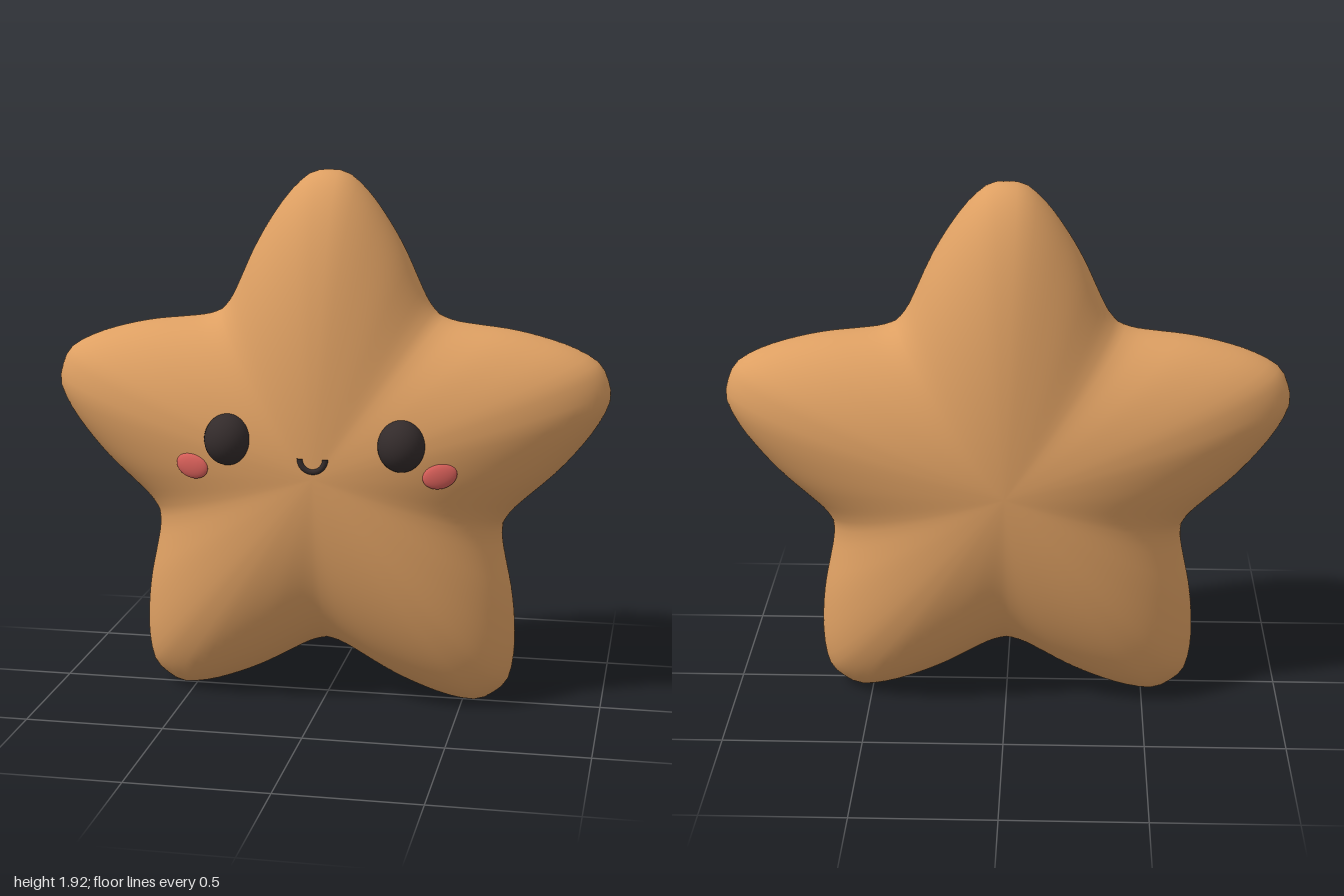
import * as THREE from 'three';
import { mergeVertices } from 'three/addons/utils/BufferGeometryUtils.js';

const CENTER_Y = 0.87, CENTER_Z = -0.025, HALF_DEPTH = 0.328;

const bodyMat = new THREE.MeshStandardMaterial({ color: 0xdd9f62 });
const darkMat = new THREE.MeshStandardMaterial({ color: 0x332b2b });
const cheekMat = new THREE.MeshStandardMaterial({ color: 0xd9605a });

// Outline radius by angle (degrees) from the nearest arm tip: tip 0, valley 36
const armRadius = new THREE.CubicInterpolant(
  [0, 3.5, 7.5, 13.5, 19.5, 25, 31, 36],
  [1.045, 1.037, 0.988, 0.897, 0.812, 0.742, 0.687, 0.668], 1);
armRadius.settings = { endingStart: THREE.ZeroSlopeEnding, endingEnd: THREE.ZeroSlopeEnding };

// Sphere with poles front and back, its radius stretched into five puffy arms
function starGeometry() {
  let geo = new THREE.SphereGeometry(1, 180, 64).rotateX(Math.PI / 2);
  geo.deleteAttribute('uv');
  geo.deleteAttribute('normal');
  geo = mergeVertices(geo, 1e-5);
  const p = geo.attributes.position;
  for (let i = 0; i < p.count; i++) {
    const x = p.getX(i), y = p.getY(i);
    const deg = THREE.MathUtils.radToDeg(Math.atan2(x, y));
    const off = Math.min(36, Math.abs(deg - 72 * Math.round(deg / 72)));
    const r = armRadius.evaluate(off)[0];
    p.setXYZ(i, x * r, y * r, p.getZ(i) * HALF_DEPTH);
  }
  geo.computeVertexNormals();
  return geo;
}

function addMesh(parent, name, geo, mat, x, y, z) {
  const mesh = new THREE.Mesh(geo, mat);
  mesh.name = name;
  mesh.position.set(x, y, z);
  parent.add(mesh);
  return mesh;
}

export function createModel() {
  const model = new THREE.Group();
  model.name = 'star';
  addMesh(model, 'body', starGeometry(), bodyMat, 0, CENTER_Y, CENTER_Z);

  // Mirrored eyes and cheeks
  const ball = new THREE.SphereGeometry(1, 32, 24);
  for (const [side, s] of [['left', 1], ['right', -1]]) {
    addMesh(model, side + 'Eye', ball, darkMat, s * 0.307, 0.995, 0.272)
      .scale.set(0.083, 0.091, 0.085);
    const cheek = addMesh(model, side + 'Cheek', ball, cheekMat, s * 0.44, 0.892, 0.26);
    cheek.scale.set(0.061, 0.045, 0.018);
    cheek.rotation.set(0, s * 0.2, s * 0.25);
  }

  // Smile: lower half ring with closed ends
  const smile = new THREE.Group();
  smile.name = 'mouth';
  smile.position.set(0, 0.942, 0.298);
  model.add(smile);
  addMesh(smile, 'smile', new THREE.TorusGeometry(0.045, 0.011, 12, 24, Math.PI), darkMat, 0, 0, 0)
    .rotation.z = Math.PI;
  for (const s of [1, -1]) {
    addMesh(smile, 'smileEnd', new THREE.CircleGeometry(0.011, 12), darkMat, s * 0.045, 0, 0)
      .rotation.x = -Math.PI / 2;
  }
  return model;
}
